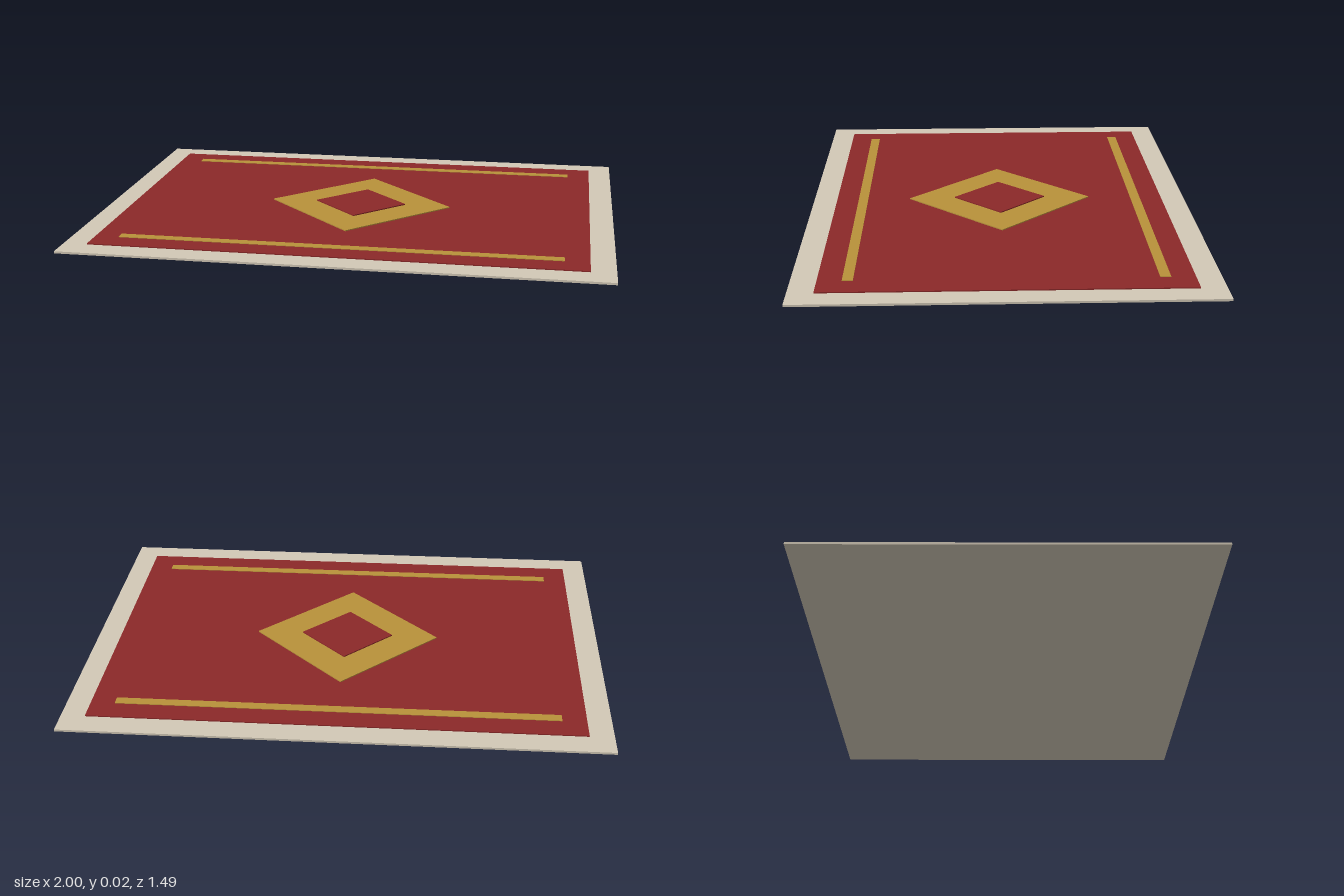
import * as THREE from 'three';

// Flat rug: thin stacked layers, each standing slightly proud of the one below.
export function createModel() {
  const rug = new THREE.Group();
  rug.name = 'rug';

  const cream = new THREE.MeshStandardMaterial({ color: 0xd2c8b6 });
  const red = new THREE.MeshStandardMaterial({ color: 0x8b2828 });
  const gold = new THREE.MeshStandardMaterial({ color: 0xb8923a });

  // Box layer spanning bottom..top in y
  function layer(name, width, depth, bottom, top, material, z = 0, turn = 0) {
    const mesh = new THREE.Mesh(new THREE.BoxGeometry(width, top - bottom, depth), material);
    mesh.name = name;
    mesh.position.set(0, (bottom + top) / 2, z);
    mesh.rotation.y = turn;
    rug.add(mesh);
  }

  // Border and central field
  layer('border', 2, 1.49, 0, 0.008, cream);
  layer('field', 1.82, 1.305, 0.004, 0.012, red);

  // Stripes along the front and back edges
  for (const side of [1, -1]) {
    layer(side > 0 ? 'frontStripe' : 'backStripe', 1.64, 0.038, 0.008, 0.014, gold, side * 0.547);
  }

  // Diamond medallion: squares turned 45 degrees, sized by half diagonal
  const edge = (halfDiagonal) => halfDiagonal * Math.SQRT2;
  layer('outerDiamond', edge(0.36), edge(0.36), 0.008, 0.016, gold, 0, Math.PI / 4);
  layer('innerDiamond', edge(0.18), edge(0.18), 0.012, 0.02, red, 0, Math.PI / 4);

  return rug;
}
